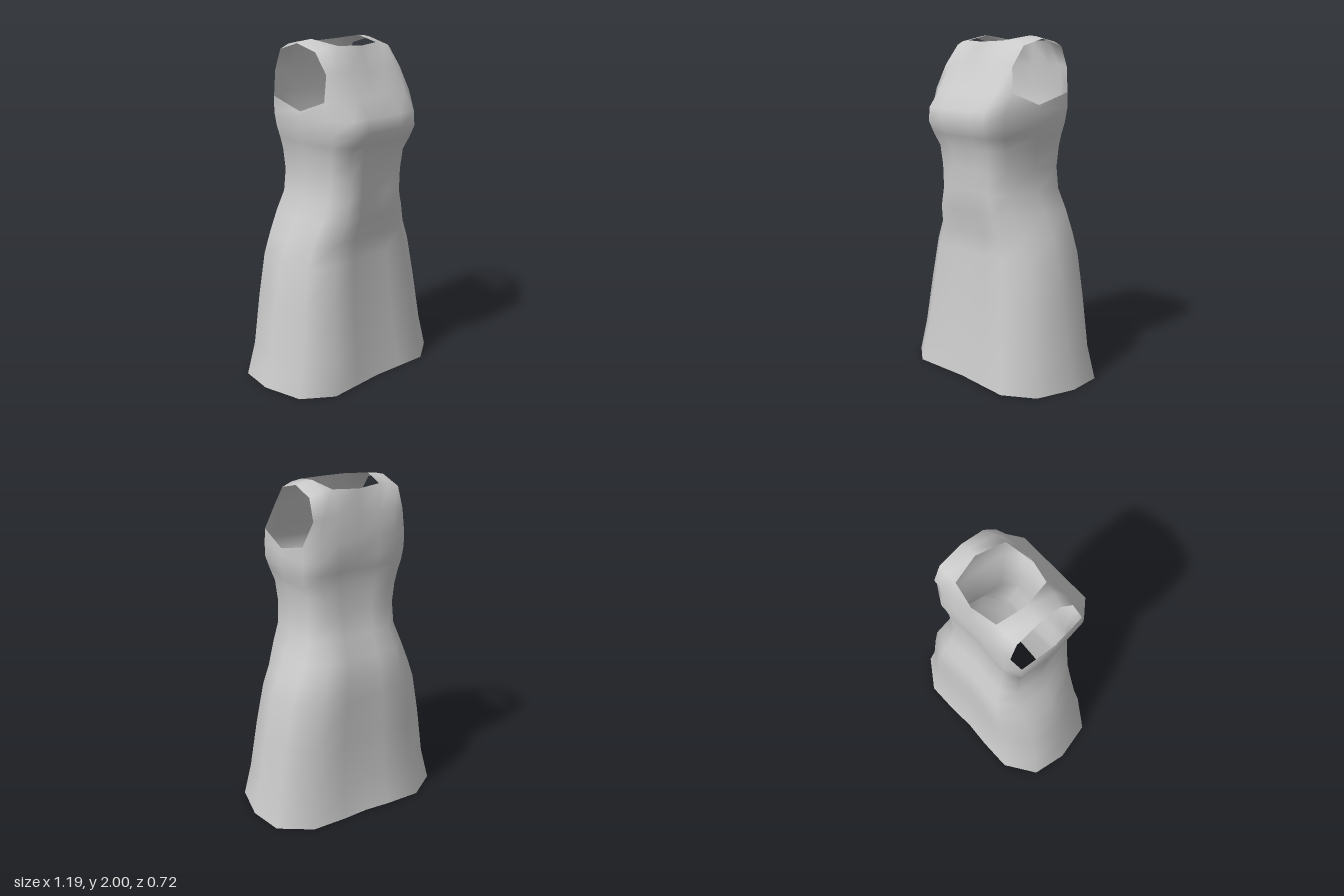
import * as THREE from 'three';
import { mergeVertices } from 'three/addons/utils/BufferGeometryUtils.js';

// Body levels: height, half width, front z, back z
const LEVELS = [
  [0, 0.595, 0.345, -0.36],
  [0.2, 0.55, 0.315, -0.325],
  [0.5, 0.505, 0.28, -0.32],
  [0.75, 0.455, 0.258, -0.32],
  [0.87, 0.41, 0.25, -0.315],
  [1.0, 0.355, 0.285, -0.295],
  [1.12, 0.31, 0.285, -0.248],
  [1.25, 0.3, 0.29, -0.225],
  [1.37, 0.31, 0.3, -0.225],
  [1.44, 0.328, 0.335, -0.225],
  [1.51, 0.347, 0.36, -0.235],
  [1.59, 0.352, 0.352, -0.252],
];

// Half ring from centre front, round the left side, to centre back
function halfRing([y, w, f, b]) {
  const t = THREE.MathUtils.smoothstep(y, 0.8, 1.5);
  const mix = (lo, hi) => lo + (hi - lo) * t;
  return [
    [0, y, f * mix(0.94, 1)],
    [w * mix(0.3, 0.36), y, f * mix(0.97, 1)],
    [w * mix(0.62, 0.69), y, f],
    [w * mix(0.91, 0.92), y, f * mix(0.65, 0.75)],
    [w, y, mix(-0.02, 0.03)],
    [w * mix(0.94, 0.95), y, b * mix(0.65, 0.8)],
    [w * mix(0.63, 0.7), y, b],
    [w * mix(0.27, 0.36), y, b],
    [0, y, b * 0.97],
  ];
}

// Top ring, dipping under the arms
const ARM_RING = [
  [0, 1.69, 0.285], [0.13, 1.69, 0.285], [0.25, 1.69, 0.272], [0.338, 1.69, 0.225],
  [0.34, 1.62, 0.03],
  [0.335, 1.68, -0.2], [0.24, 1.69, -0.24], [0.13, 1.69, -0.25], [0, 1.69, -0.25],
];

// Yoke rows, up the front, over the shoulders and down the back (centre to armhole)
const YOKE = [
  ARM_RING.slice(0, 4),
  [[0, 1.83, 0.21], [0.14, 1.83, 0.21], [0.23, 1.83, 0.205], [0.29, 1.83, 0.19]],
  [[0, 1.965, 0.165], [0.15, 1.972, 0.13], [0.22, 1.965, 0.118], [0.287, 1.945, 0.1]],
  [null, [0.185, 2.0, -0.045], [0.235, 1.995, -0.045], [0.287, 1.983, -0.05]],
  [[0, 1.965, -0.235], [0.15, 1.972, -0.205], [0.22, 1.965, -0.205], [0.287, 1.94, -0.195]],
  [[0, 1.83, -0.245], [0.14, 1.83, -0.245], [0.23, 1.83, -0.245], [0.29, 1.82, -0.24]],
  ARM_RING.slice(5).reverse(),
];

const mirror = (p) => p && [-p[0], p[1], p[2]];

// Joins neighbouring rows with quads, leaving a gap wherever a point is null
function addGrid(out, rows) {
  for (let r = 0; r + 1 < rows.length; r++) {
    for (let c = 0; c + 1 < rows[r].length; c++) {
      const a = rows[r][c], b = rows[r][c + 1];
      const d = rows[r + 1][c + 1], e = rows[r + 1][c];
      if (a && b && d && e) out.push(...a, ...b, ...d, ...a, ...d, ...e);
    }
  }
}

export function createModel() {
  const positions = [];

  // Skirt, waist and chest as closed rings
  const rings = [...LEVELS.map(halfRing), ARM_RING];
  addGrid(positions, rings.map((h) => [...h, ...h.slice(0, -1).reverse().map(mirror)]));

  // Yoke with neck opening and armholes
  addGrid(positions, YOKE.map((h) => [...h.slice(1).reverse().map(mirror), ...h]));

  // Weld everything into one smooth cloth surface
  let geometry = new THREE.BufferGeometry();
  geometry.setAttribute('position', new THREE.Float32BufferAttribute(positions, 3));
  geometry = mergeVertices(geometry, 1e-4);
  geometry.computeVertexNormals();

  const material = new THREE.MeshStandardMaterial({ color: 0xcccccc, side: THREE.DoubleSide });
  const dress = new THREE.Mesh(geometry, material);
  dress.name = 'dress';

  const group = new THREE.Group();
  group.name = 'sleevelessDress';
  group.add(dress);
  return group;
}
